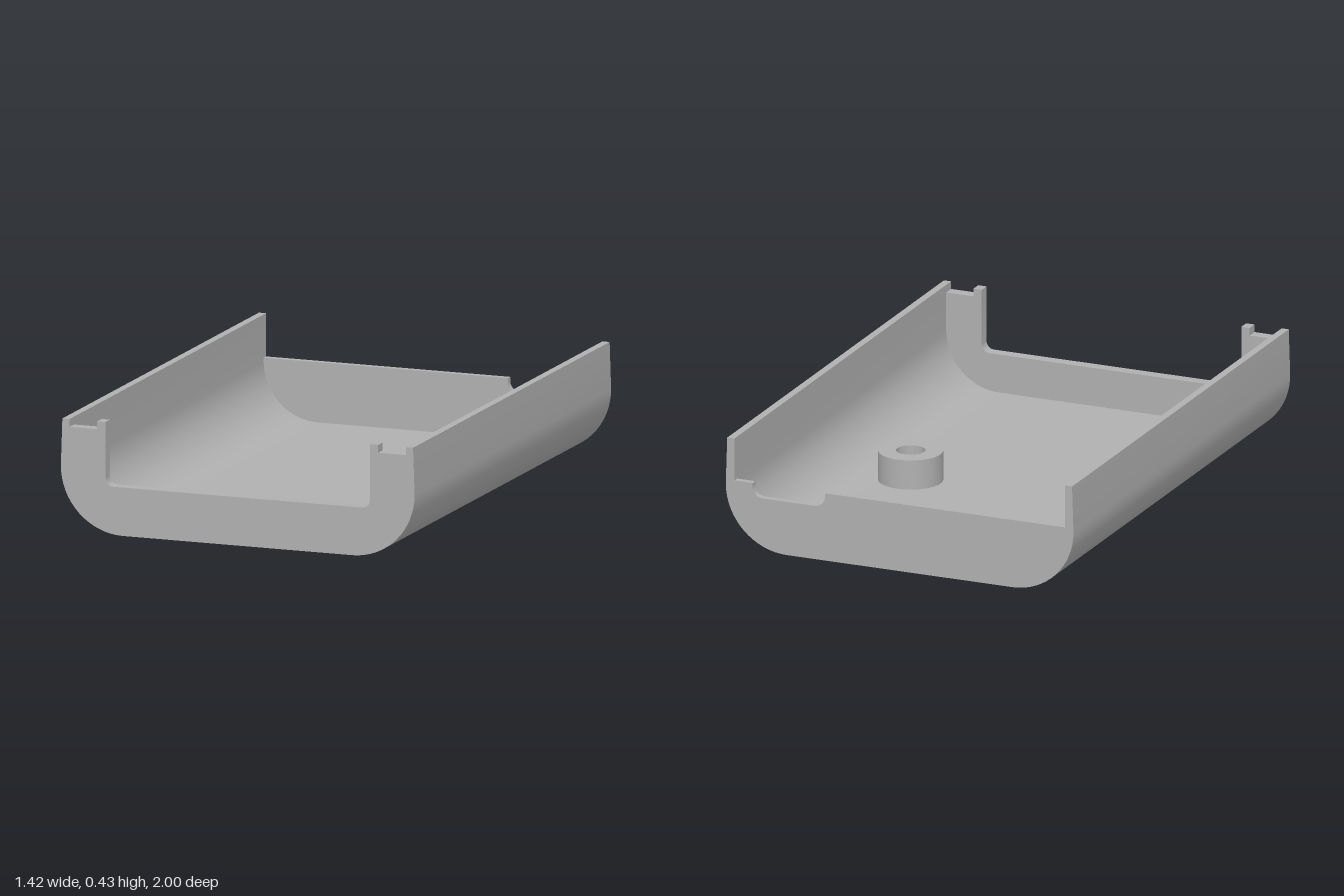
import * as THREE from 'three';
import { toCreasedNormals } from 'three/addons/utils/BufferGeometryUtils.js';

const LENGTH = 2;      // front to back
const FLOOR = 0.035;   // floor and wall thickness
const RIM = 0.43;      // top of the side walls
const BEND = { x: 0.46, y: 0.25 }; // centre of the rounded lower edge

// Points along an arc, angles in quarter turns
function arc(cx, cy, r, q0, q1, n) {
  return Array.from({ length: n + 1 }, (_, i) => {
    const a = (q0 + (q1 - q0) * i / n) * Math.PI / 2;
    return [cx + r * Math.cos(a), cy + r * Math.sin(a)];
  });
}

const mirror = points => points.map(([x, y]) => [-x, y]).reverse();
const toShape = points => new THREE.Shape(points.map(([x, y]) => new THREE.Vector2(x, y)));

// Extrude an outline between two z positions, keeping hard edges sharp
function slab(shape, z0, z1) {
  const geometry = new THREE.ExtrudeGeometry(shape, { depth: z1 - z0, bevelEnabled: false, curveSegments: 24 });
  geometry.translate(0, 0, z0);
  return toCreasedNormals(geometry, 0.5);
}

export function createModel() {
  const group = new THREE.Group();
  const grey = new THREE.MeshStandardMaterial({ color: 0xb0b0b0 });
  grey.name = 'grey plastic';
  const add = (name, geometry) => {
    const mesh = new THREE.Mesh(geometry, grey);
    mesh.name = name;
    group.add(mesh);
    return mesh;
  };

  const outerBend = arc(BEND.x, BEND.y, 0.25, -1, 0, 16);
  const innerBend = arc(BEND.x, BEND.y, 0.25 - FLOOR, -1, 0, 16);

  // Rounded side walls, with a slight inward draft at the rim
  const wall = [...outerBend, [0.704, RIM], [0.675, RIM], ...[...innerBend].reverse()];
  add('leftWall', slab(toShape(wall), -LENGTH / 2, LENGTH / 2));
  add('rightWall', slab(toShape(mirror(wall)), -LENGTH / 2, LENGTH / 2));

  // Flat floor with the screw hole cut through
  const hole = { x: 0.353, z: -0.1 };
  const floorShape = toShape([[-BEND.x, -1], [BEND.x, -1], [BEND.x, 1], [-BEND.x, 1]]);
  floorShape.holes.push(new THREE.Path().absarc(hole.x, -hole.z, 0.1, 0, Math.PI * 2, true));
  const floor = slab(floorShape, 0, FLOOR);
  floor.rotateX(-Math.PI / 2);
  add('floor', floor);

  // Screw boss with a wide recess for the screw head underneath
  const bossProfile = [[0.122, 0.02], [0.122, 0.15], [0.055, 0.15], [0.055, 0.1], [0.1, 0.1], [0.1, 0]];
  const boss = new THREE.LatheGeometry(bossProfile.map(p => new THREE.Vector2(...p)), 48);
  add('screwBoss', toCreasedNormals(boss, 0.5)).position.set(hole.x, 0, hole.z);

  // Front wall: wide opening between two grooved posts
  const post = [
    ...innerBend, [0.675, 0.4], [0.564, 0.4], [0.564, RIM], [0.53, RIM],
    ...arc(0.5, 0.215, 0.03, 0, -1, 6),
  ];
  add('frontWall', slab(toShape([...post, ...mirror(post)]), 0.955, 1));

  // Back wall: low, with a rounded notch near the left end
  const backTop = 0.265, notchFloor = 0.21;
  const backWall = [
    ...innerBend, [0.675, backTop], [0.6, backTop],
    ...arc(0.56, notchFloor + 0.04, 0.04, 0, -1, 6),
    ...arc(0.345, notchFloor + 0.04, 0.04, -1, -2, 6),
    [0.305, backTop], [-0.675, backTop], ...mirror(innerBend),
  ];
  add('backWall', slab(toShape(backWall), -1, -0.975));

  return group;
}
